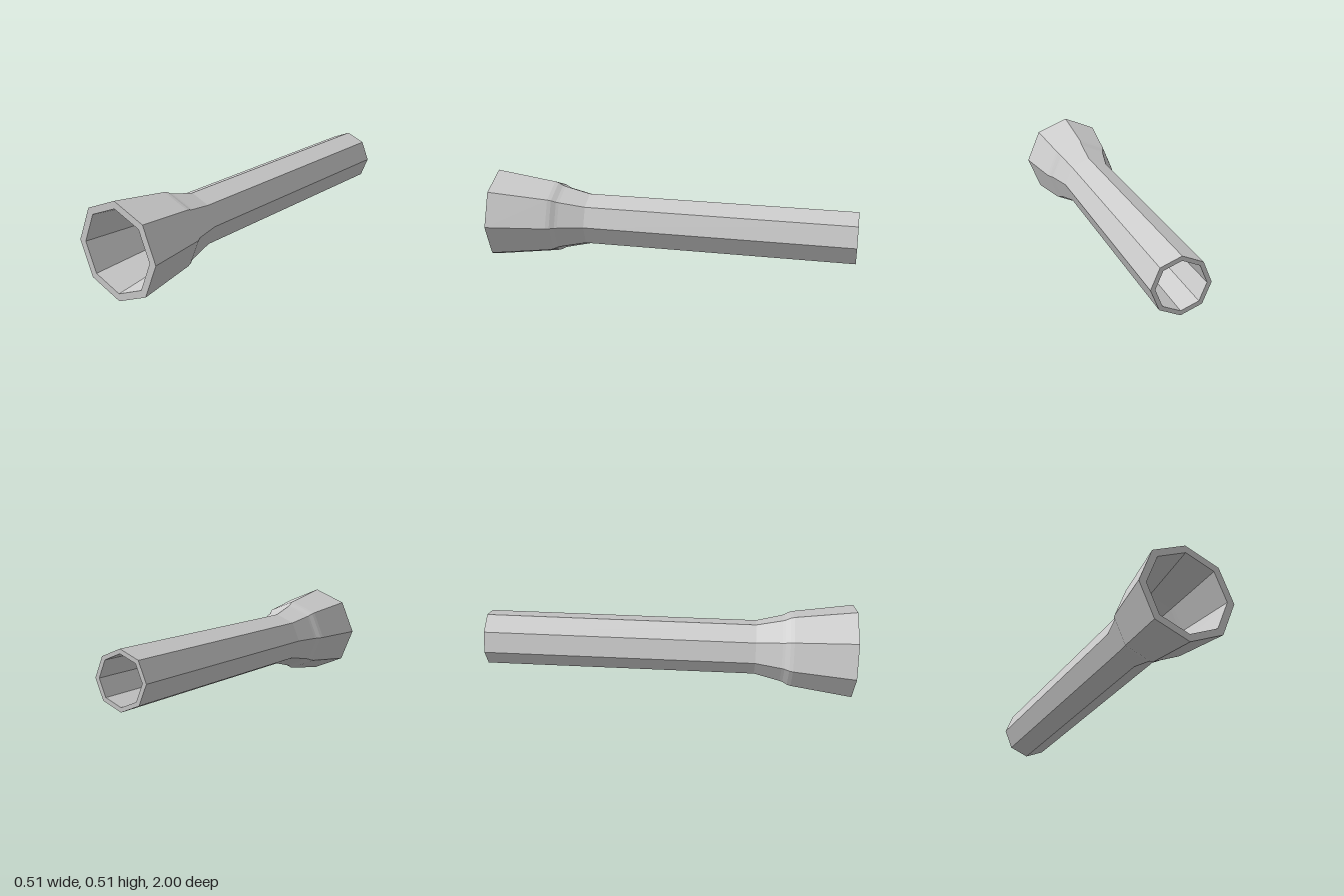
import * as THREE from 'three';

const SIDES = 8;
const CENTRE_Y = 0.254;

// [radius, z] along each wall, from back to front
const outerWall = [
  [0.148, -1], [0.148, 0.47], [0.182, 0.61], [0.187, 0.625],
  [0.201, 0.65], [0.207, 0.67], [0.254, 1],
];
const innerWall = [
  [0.125, -1], [0.125, 0.47], [0.152, 0.61], [0.157, 0.625],
  [0.168, 0.65], [0.173, 0.67], [0.215, 1],
];

export function createModel() {
  const model = new THREE.Group();
  model.name = 'flaredTube';

  // Closed wall section: outer wall forward, front rim, inner wall back, rear rim
  const section = [...outerWall, ...innerWall.slice().reverse(), outerWall[0]]
    .map(([r, z]) => new THREE.Vector2(r, z));

  // Octagonal hollow tube, turned so its axis runs along z
  const geometry = new THREE.LatheGeometry(section, SIDES);
  geometry.rotateX(Math.PI / 2);

  const material = new THREE.MeshStandardMaterial({ color: 0xcccccc, flatShading: true });
  const tube = new THREE.Mesh(geometry, material);
  tube.name = 'tubeWithFlaredHead';
  tube.position.y = CENTRE_Y;
  model.add(tube);

  return model;
}
